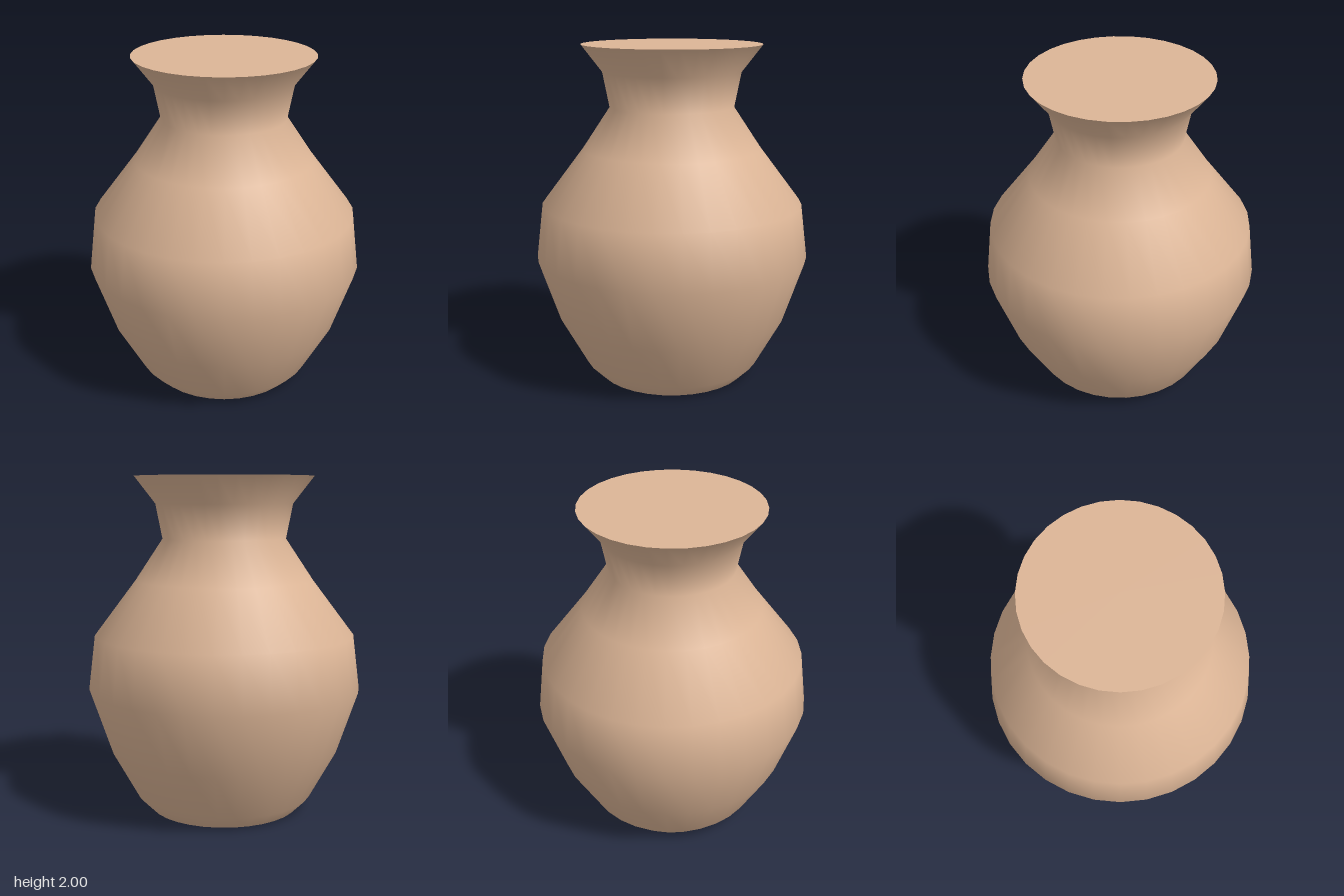
import * as THREE from 'three';

const SEGMENTS = 32;

// Wall profile from foot to lip: [radius, height]
const PROFILE = [
  [0.45, 0], [0.53, 0.08], [0.69, 0.37], [0.815, 0.74], [0.775, 1.065],
  [0.53, 1.39], [0.367, 1.635], [0.407, 1.84], [0.53, 2],
];

export function createModel() {
  const vase = new THREE.Group();
  vase.name = 'vase';
  const clay = new THREE.MeshStandardMaterial({ color: 0xdcb596 });

  // Smooth turned wall
  const points = PROFILE.map(([r, y]) => new THREE.Vector2(r, y));
  const wall = new THREE.Mesh(new THREE.LatheGeometry(points, SEGMENTS), clay);
  wall.name = 'wall';
  vase.add(wall);

  // Flat discs closing the foot and the mouth
  const addDisc = (name, [radius, y], tilt) => {
    const disc = new THREE.Mesh(new THREE.CircleGeometry(radius, SEGMENTS), clay);
    disc.name = name;
    disc.rotation.x = tilt;
    disc.position.y = y;
    vase.add(disc);
  };
  addDisc('base', PROFILE[0], Math.PI / 2);
  addDisc('top', PROFILE[PROFILE.length - 1], -Math.PI / 2);

  return vase;
}
